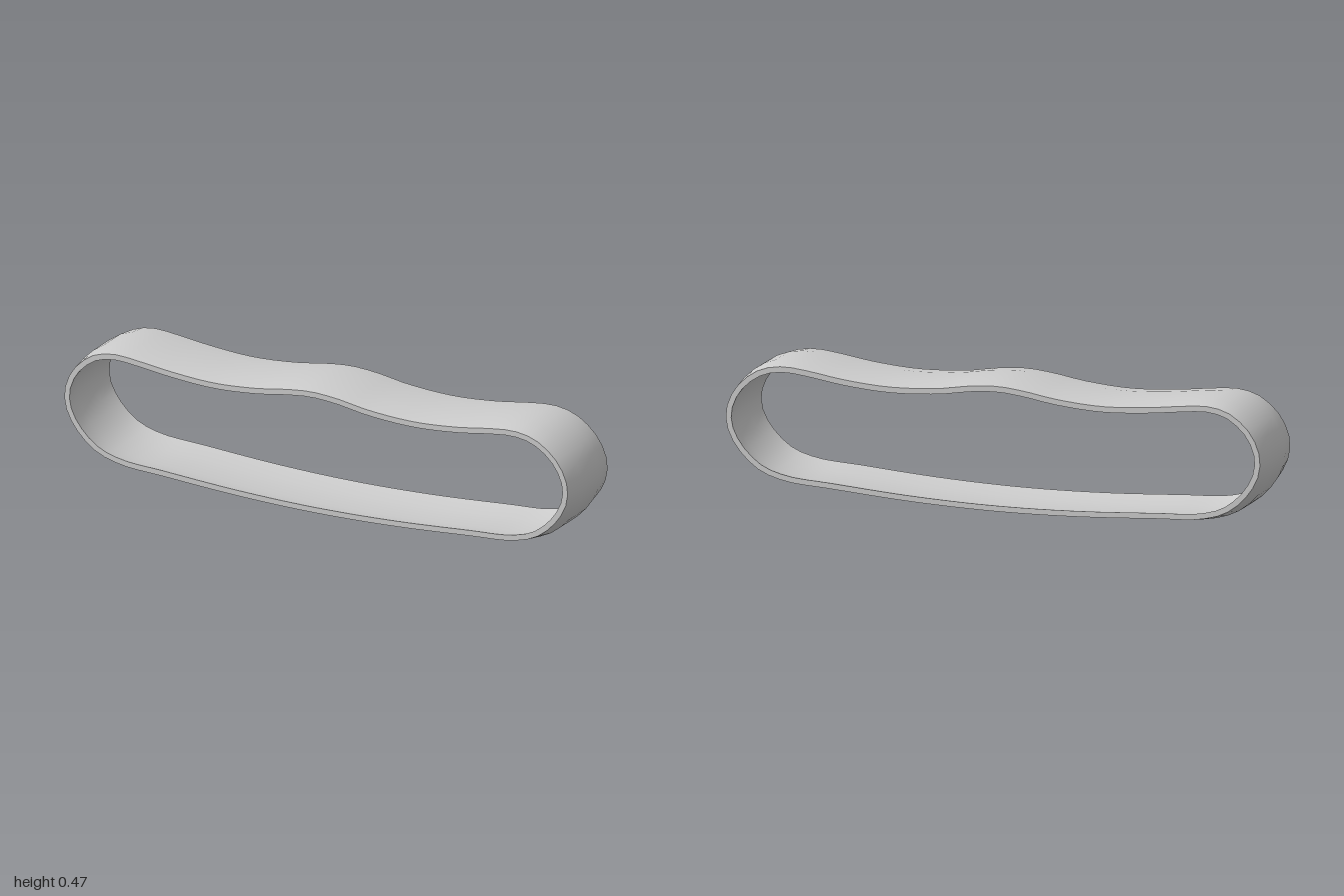
import * as THREE from 'three';

// Outer centre line of the belt, counter-clockwise seen from the front
const PROFILE = [
  [0, 0.003], [0.3, 0.01], [0.6, 0.029], [0.77, 0.042], [0.87, 0.075], [0.95, 0.145],
  [0.992, 0.22], [0.998, 0.29], [0.972, 0.36], [0.925, 0.415], [0.86, 0.456], [0.78, 0.473],
  [0.69, 0.467], [0.55, 0.447], [0.38, 0.436], [0.2, 0.447], [0.09, 0.465], [-0.02, 0.473],
  [-0.12, 0.464], [-0.23, 0.447], [-0.4, 0.436], [-0.57, 0.447], [-0.7, 0.463], [-0.79, 0.47],
  [-0.87, 0.454], [-0.935, 0.41], [-0.975, 0.36], [-0.999, 0.29], [-0.992, 0.22], [-0.95, 0.145],
  [-0.87, 0.075], [-0.77, 0.042], [-0.6, 0.029], [-0.3, 0.01],
];
const SEGMENTS = 96;
const THICKNESS = 0.02;
const HALF_WIDTH = 0.144;
const HALF_FLAT = 0.062;

const curve = new THREE.CatmullRomCurve3(
  PROFILE.map(([x, y]) => new THREE.Vector3(x, y, 0)), true, 'centripetal');

// Profile samples with outward normals
const samples = Array.from({ length: SEGMENTS }, (_, i) => {
  const t = i / SEGMENTS;
  const p = curve.getPointAt(t);
  const d = curve.getTangentAt(t);
  return { p, nx: d.y, ny: -d.x };
});

// Closed loop at depth z; the belt tapers inward towards its side edges
function loopAt(z, inner) {
  const tapered = Math.abs(z) > HALF_FLAT;
  return samples.map(({ p, nx, ny }) => {
    const inset = (tapered ? 0.0135 - 0.0035 * ny : 0) + (inner ? THICKNESS : 0);
    return [p.x - nx * inset, p.y - ny * inset, z];
  });
}

// Skin a list of closed loops
function skin(name, loops, material) {
  const index = [];
  for (let k = 0; k < loops.length - 1; k++) {
    for (let i = 0; i < SEGMENTS; i++) {
      const j = (i + 1) % SEGMENTS;
      const a = k * SEGMENTS + i, b = k * SEGMENTS + j;
      const c = b + SEGMENTS, d = a + SEGMENTS;
      index.push(a, c, b, a, d, c);
    }
  }
  const geometry = new THREE.BufferGeometry();
  geometry.setAttribute('position', new THREE.Float32BufferAttribute(loops.flat(2), 3));
  geometry.setIndex(index);
  geometry.computeVertexNormals();
  const mesh = new THREE.Mesh(geometry, material);
  mesh.name = name;
  return mesh;
}

export function createModel() {
  const group = new THREE.Group();
  group.name = 'trackBelt';
  const material = new THREE.MeshStandardMaterial({ color: 0xcccccc });

  // Loops run front to back outside, back to front inside
  const depths = [HALF_WIDTH, HALF_FLAT, -HALF_FLAT, -HALF_WIDTH];
  const outer = depths.map((z) => loopAt(z, false));
  const inner = depths.map((z) => loopAt(z, true)).reverse();

  group.add(
    skin('outerSurface', outer, material),
    skin('backRim', [outer[3], inner[0]], material),
    skin('innerSurface', inner, material),
    skin('frontRim', [inner[3], outer[0]], material),
  );
  return group;
}
